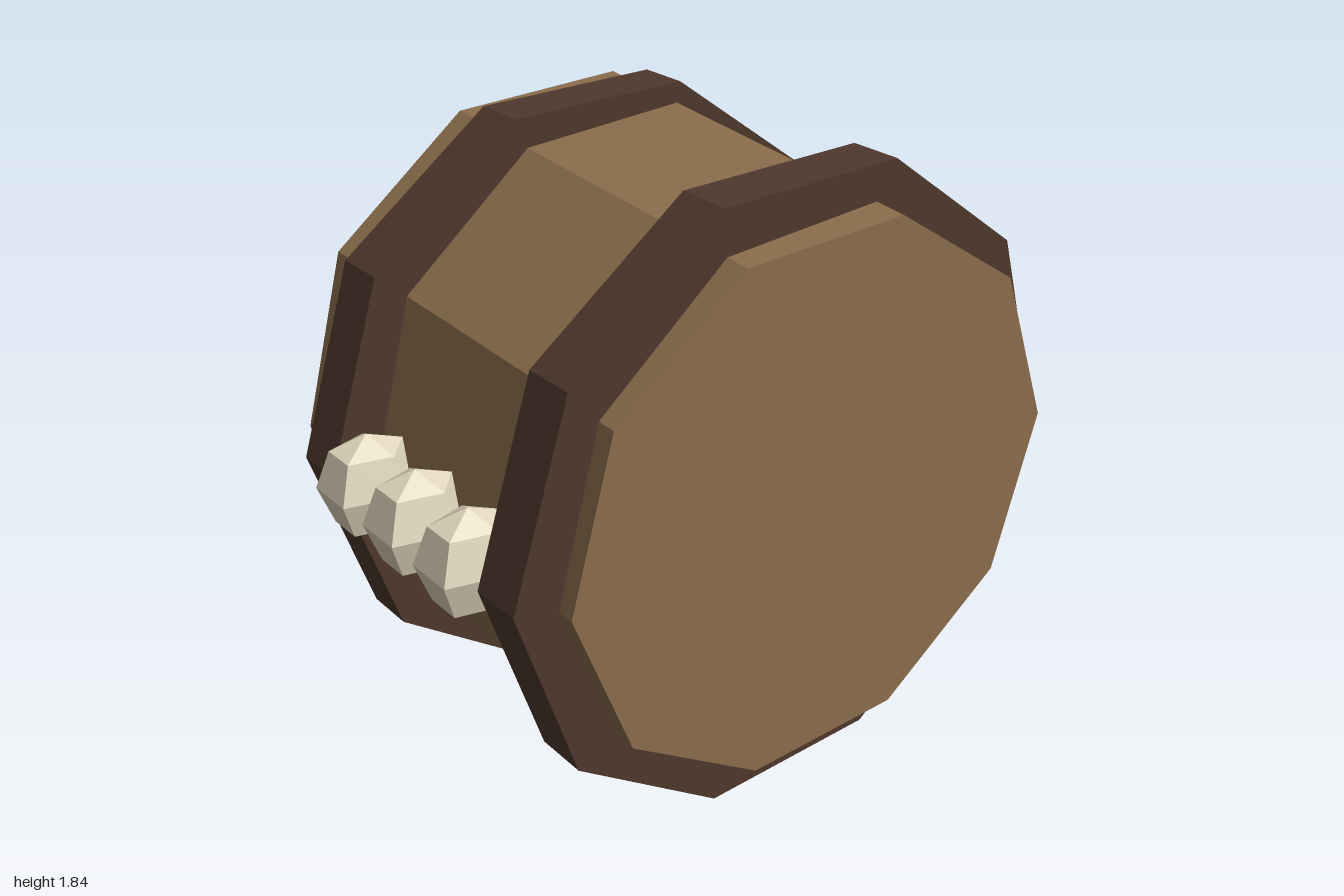
import * as THREE from 'three';

const SIDES = 10;
const material = (color) => new THREE.MeshStandardMaterial({ color, flatShading: true });

export function createModel() {
  const group = new THREE.Group();
  const add = (name, geometry, mat, x, y, z) => {
    const mesh = new THREE.Mesh(geometry, mat);
    mesh.name = name;
    mesh.position.set(x, y, z);
    group.add(mesh);
  };

  // Tapered barrel lying along x, slightly rolled and yawed
  const barrel = new THREE.CylinderGeometry(0.835, 0.9, 1.35, SIDES)
    .rotateZ(-Math.PI / 2)
    .rotateX(0.048)
    .rotateY(-0.048);
  add('barrel', barrel, material(0x8b6d4c), 0, 0.92, -0.068);

  // Two straight hoops around the barrel
  const hoopMaterial = material(0x4e382d);
  const hoop = new THREE.CylinderGeometry(0.965, 0.965, 0.16, SIDES).rotateZ(-Math.PI / 2);
  add('rightHoop', hoop, hoopMaterial, -0.4, 0.918, -0.03);
  add('leftHoop', hoop, hoopMaterial, 0.5, 0.918, -0.03);

  // Row of faceted studs on the front
  const studMaterial = material(0xe0d6bc);
  const stud = new THREE.SphereGeometry(0.16, 5, 4).rotateY(-Math.PI / 2).scale(0.81, 1, 1);
  for (let i = 0; i < 3; i++) {
    add(`stud${i + 1}`, stud, studMaterial, -0.225 + i * 0.257, 0.92, 0.87);
  }

  return group;
}
